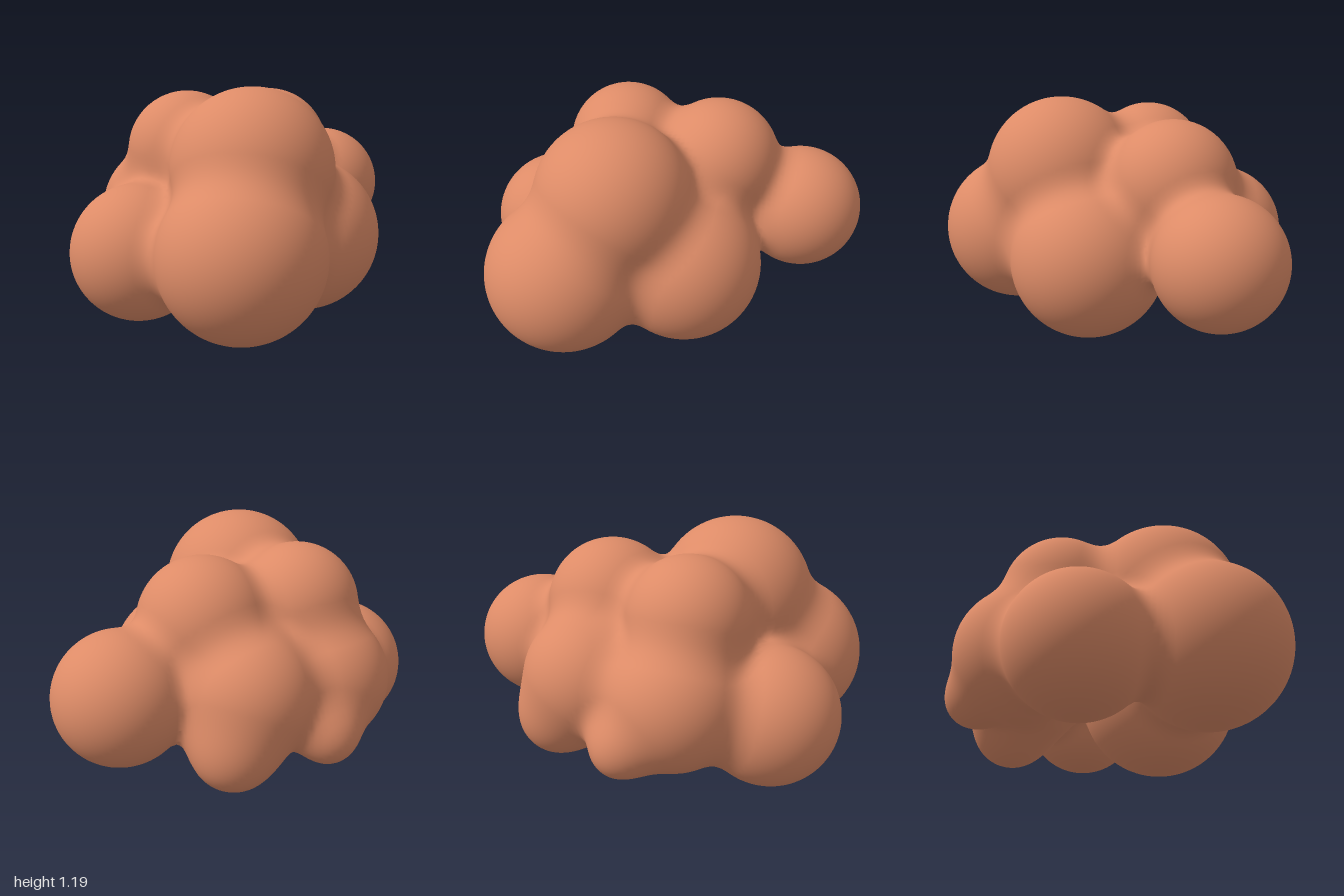
import * as THREE from 'three';

// Lobes of the blob: centre x, y, z and radius
const LOBES = [
  [0.45, 0.44, 0.43, 0.40],    // front left, large
  [0.24, 0.79, 0.22, 0.40],    // top, large
  [0.19, 0.40, -0.13, 0.40],   // underside, large
  [-0.12, 0.365, 0.655, 0.345], // front
  [-0.445, 0.48, 0.32, 0.345], // front right
  [-0.27, 0.82, 0.28, 0.31],   // top, front right
  [-0.23, 0.79, -0.22, 0.325], // top, back
  [-0.295, 0.515, -0.675, 0.325], // back
  [-0.525, 0.51, -0.13, 0.325], // right side
  [-0.62, 0.31, -0.25, 0.21],  // small, low at the back right
  [-0.70, 0.315, 0.21, 0.155], // small, low at the right
];
const BLEND = 0.11;
const STEP = 0.025;

// Distance to the lobes, joined with soft fillets
function distance(x, y, z) {
  let d = Infinity;
  for (const [cx, cy, cz, r] of LOBES) {
    const e = Math.hypot(x - cx, y - cy, z - cz) - r;
    const h = Math.max(BLEND - Math.abs(d - e), 0);
    d = Math.min(d, e) - (h * h) / (4 * BLEND);
  }
  return d;
}

function gradient(p) {
  const e = 0.001;
  return new THREE.Vector3(
    distance(p.x + e, p.y, p.z) - distance(p.x - e, p.y, p.z),
    distance(p.x, p.y + e, p.z) - distance(p.x, p.y - e, p.z),
    distance(p.x, p.y, p.z + e) - distance(p.x, p.y, p.z - e)
  ).divideScalar(2 * e);
}

// Skin the distance field: one vertex per crossed cell, one quad per crossed grid edge
function skinGeometry() {
  const min = [-0.95, -0.1, -1.1];
  const size = [1.9, 1.4, 2.2].map((s) => Math.ceil(s / STEP) + 1);
  const stride = [1, size[0], size[0] * size[1]];
  const total = stride[2] * size[2];
  const field = new Float32Array(total);
  const at = (i, j, k) => i + j * stride[1] + k * stride[2];
  const eachCell = (from, visit) => {
    for (let k = from; k < size[2] - 1; k++)
      for (let j = from; j < size[1] - 1; j++)
        for (let i = from; i < size[0] - 1; i++) visit(i, j, k, at(i, j, k));
  };
  for (let k = 0; k < size[2]; k++)
    for (let j = 0; j < size[1]; j++)
      for (let i = 0; i < size[0]; i++)
        field[at(i, j, k)] = distance(min[0] + i * STEP, min[1] + j * STEP, min[2] + k * STEP);

  const positions = [], normals = [], indices = [];
  const vertexOf = new Int32Array(total).fill(-1);
  eachCell(0, (i, j, k, c) => {
    let inside = 0;
    for (let n = 0; n < 8; n++)
      if (field[c + (n & 1) + ((n >> 1) & 1) * stride[1] + (n >> 2) * stride[2]] < 0) inside++;
    if (inside === 0 || inside === 8) return;
    // average the points where the cell's edges cross the surface
    const p = new THREE.Vector3();
    let count = 0;
    for (let n = 0; n < 8; n++) {
      const corner = [n & 1, (n >> 1) & 1, n >> 2];
      const a = c + corner[0] + corner[1] * stride[1] + corner[2] * stride[2];
      for (let axis = 0; axis < 3; axis++) {
        if (corner[axis]) continue;
        const b = a + stride[axis];
        if ((field[a] < 0) === (field[b] < 0)) continue;
        const q = corner.slice();
        q[axis] = field[a] / (field[a] - field[b]);
        p.add(new THREE.Vector3(...q));
        count++;
      }
    }
    p.divideScalar(count).add(new THREE.Vector3(i, j, k)).multiplyScalar(STEP);
    p.add(new THREE.Vector3(...min));
    // pull the vertex exactly onto the surface
    for (let n = 0; n < 3; n++) {
      const g = gradient(p);
      p.addScaledVector(g, -distance(p.x, p.y, p.z) / Math.max(g.lengthSq(), 0.2));
    }
    vertexOf[c] = positions.length / 3;
    positions.push(p.x, p.y, p.z);
    normals.push(...gradient(p).normalize().toArray());
  });

  eachCell(1, (i, j, k, c) => {
    for (let axis = 0; axis < 3; axis++) {
      const inA = field[c] < 0;
      if (inA === field[c + stride[axis]] < 0) continue;
      const u = stride[(axis + 1) % 3], v = stride[(axis + 2) % 3];
      const quad = [c - u - v, c - v, c, c - u].map((n) => vertexOf[n]);
      if (!inA) quad.reverse();
      const [a, b, d, e] = quad;
      indices.push(a, b, d, a, d, e);
    }
  });

  const geometry = new THREE.BufferGeometry();
  geometry.setAttribute('position', new THREE.Float32BufferAttribute(positions, 3));
  geometry.setAttribute('normal', new THREE.Float32BufferAttribute(normals, 3));
  geometry.setIndex(indices);
  return geometry;
}

export function createModel() {
  const group = new THREE.Group();
  group.name = 'lumpyBlob';
  const clay = new THREE.MeshStandardMaterial({ color: 0xdd8b67 });
  clay.name = 'terracotta';
  const body = new THREE.Mesh(skinGeometry(), clay);
  body.name = 'blobBody';
  group.add(body);
  return group;
}
